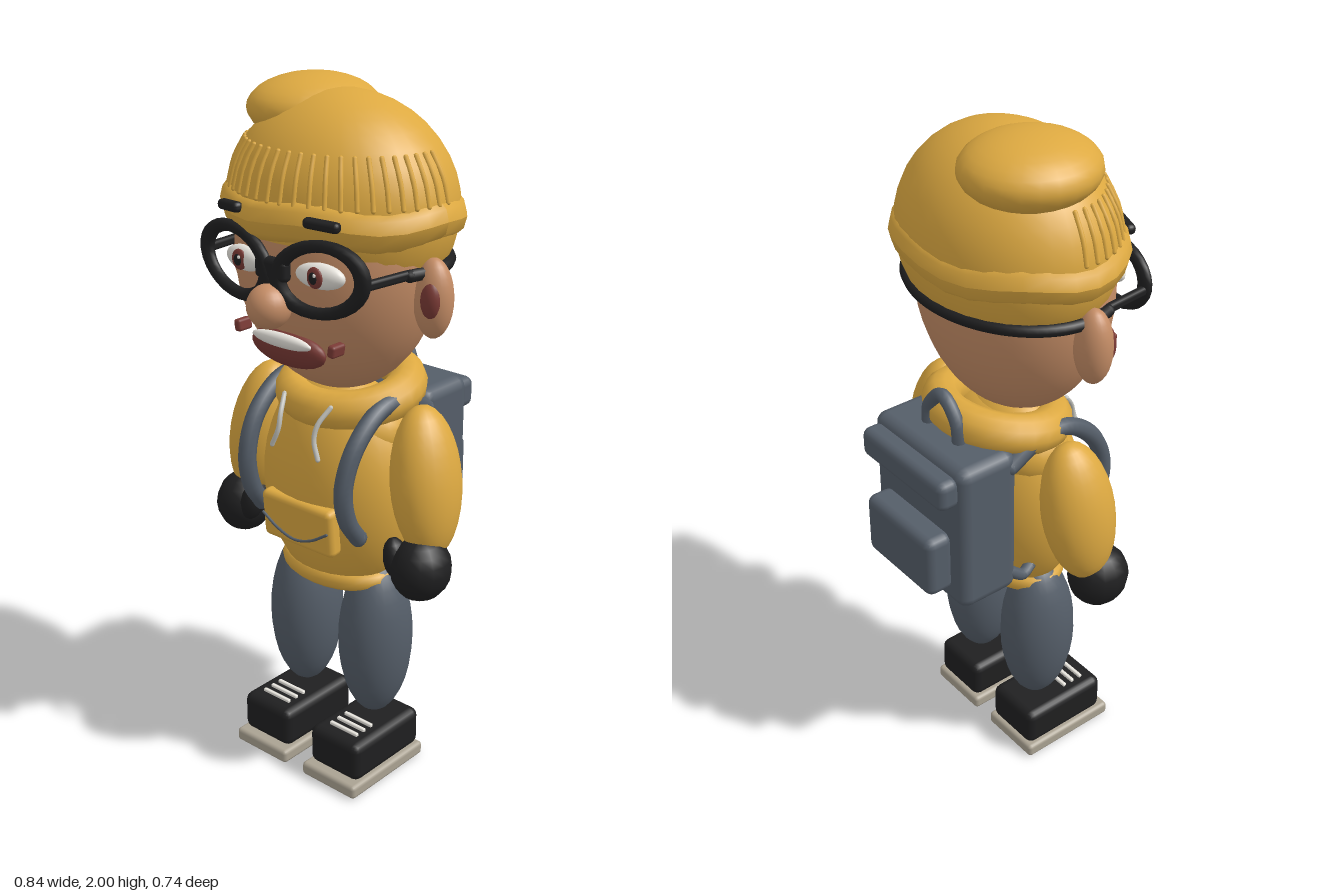
import * as THREE from 'three';
import { RoundedBoxGeometry } from 'three/addons/geometries/RoundedBoxGeometry.js';

const mat = (name, color) => Object.assign(new THREE.MeshStandardMaterial({ color }), { name });

export function createModel() {
  const root = new THREE.Group();
  root.name = 'backpackKid';
  const yellow = mat('hoodieYellow', 0xdda941), skin = mat('skin', 0xc58d66);
  const slate = mat('slate', 0x555e69), black = mat('black', 0x1f1f20);
  const red = mat('mouthRed', 0x7a3a35), white = mat('white', 0xe9e6df);
  const sole = mat('soleGrey', 0xaaa292), cord = mat('cordGrey', 0xc3c3bd);

  const add = (name, geo, m, pos = [0, 0, 0], rot = [0, 0, 0]) => {
    const mesh = new THREE.Mesh(geo, m);
    mesh.name = name;
    mesh.position.set(...pos);
    mesh.rotation.set(...rot);
    root.add(mesh);
    return mesh;
  };
  const blob = (name, m, pos, radii, rot, w = 24, h = 16) =>
    add(name, new THREE.SphereGeometry(1, w, h).scale(...radii), m, pos, rot);
  const box = (name, m, pos, size, r = 0.02, rot) =>
    add(name, new RoundedBoxGeometry(...size, 2, r), m, pos, rot);
  const tube = (name, m, pts, r, seg = 24) => {
    const curve = new THREE.CatmullRomCurve3(pts.map(p => new THREE.Vector3(...p)));
    const mesh = add(name, new THREE.TubeGeometry(curve, seg, r, 8), m);
    // rounded ends
    for (const p of [pts[0], pts[pts.length - 1]]) blob(name + 'End', m, p, [r, r, r], undefined, 8, 6);
    return mesh;
  };

  // Head
  blob('head', skin, [0, 1.55, 0.04], [0.305, 0.38, 0.243], undefined, 32, 24);
  blob('nose', skin, [0, 1.455, 0.305], [0.06, 0.06, 0.06]);
  blob('mouth', red, [0, 1.325, 0.235], [0.13, 0.055, 0.035], [0.25, 0, 0]);
  blob('teeth', white, [0, 1.352, 0.262], [0.105, 0.021, 0.018], [0.25, 0, 0]);

  // Knit cap: dome, folded slouch and cuff
  const dome = { y: 1.68, z: 0.018, rx: 0.337, ry: 0.295, rz: 0.268 };
  blob('capDome', yellow, [0, dome.y, dome.z], [dome.rx, dome.ry, dome.rz], undefined, 32, 20);
  blob('capSlouch', yellow, [-0.13, 1.91, -0.015], [0.177, 0.09, 0.186]);
  const cuff = new THREE.TorusGeometry(1, 0.15, 10, 28).rotateX(Math.PI / 2);
  const cp = cuff.attributes.position;
  for (let i = 0; i < cp.count; i++) {
    const x = cp.getX(i), y = cp.getY(i), z = cp.getZ(i);
    const a = Math.atan2(z, x);
    cp.setXYZ(i, x * 0.31, y * 0.36 + 0.008 * Math.cos(5 * a), z * 0.248);
  }
  cuff.computeVertexNormals();
  add('capCuff', cuff, yellow, [0, 1.672, 0.022]);

  // Knit ribs along the front of the dome
  const ribs = 26;
  for (let i = 0; i < ribs; i++) {
    const a = -0.08 + (i / (ribs - 1)) * (Math.PI + 0.16);
    const pts = [0.14, 0.36, 0.58].map(e => [
      Math.cos(a) * Math.cos(e) * dome.rx,
      dome.y + Math.sin(e) * dome.ry,
      dome.z + Math.sin(a) * Math.cos(e) * dome.rz,
    ]);
    tube('capRib', yellow, pts, 0.0065, 6);
  }

  // Glasses bridge and band around the back of the head
  box('glassesBridge', black, [0, 1.552, 0.288], [0.11, 0.06, 0.035], 0.015);
  const band = [];
  for (let i = 0; i <= 16; i++) {
    const a = -0.3 + (i / 16) * (Math.PI + 0.6);
    band.push([0.315 * Math.cos(a), 1.548, 0.03 - 0.252 * Math.sin(a)]);
  }
  tube('glassesBand', black, band, 0.017, 48);

  // Torso, hem, hood
  blob('torso', yellow, [0, 0.88, 0.035], [0.245, 0.335, 0.175], undefined, 32, 20);
  blob('shoulders', yellow, [0, 1.06, 0.02], [0.215, 0.13, 0.14]);
  const hem = new THREE.TorusGeometry(1, 0.2, 10, 24).rotateX(Math.PI / 2).scale(0.16, 0.15, 0.108);
  add('hem', hem, yellow, [0, 0.62, 0.035]);
  const hood = new THREE.TorusGeometry(1, 0.36, 12, 28).rotateX(Math.PI / 2).scale(0.165, 0.16, 0.15);
  add('hood', hood, yellow, [0, 1.155, -0.015], [0.2, 0, 0]);

  // Front pocket with a curved seam
  box('frontPocket', yellow, [0, 0.802, 0.195], [0.26, 0.145, 0.05], 0.018, [0.08, 0, 0]);
  tube('pocketSeam', slate, [[-0.12, 0.805, 0.224], [-0.06, 0.772, 0.225], [0, 0.757, 0.225],
    [0.06, 0.772, 0.225], [0.12, 0.808, 0.224]], 0.004);

  for (const s of [-1, 1]) {
    // Ears, cheek marks and brows
    blob('ear', skin, [s * 0.325, 1.48, 0.037], [0.055, 0.107, 0.05]);
    blob('innerEar', red, [s * 0.338, 1.483, 0.066], [0.031, 0.054, 0.025]);
    box('cheekMark', red, [s * 0.168, 1.355, 0.235], [0.024, 0.034, 0.05], 0.008, [0, 0, -s * 0.15]);
    box('eyebrow', black, [s * 0.16, 1.688, 0.278], [0.1, 0.028, 0.03], 0.012, [0, s * 0.3, -s * 0.08]);

    // Eyes and glasses rims
    const ex = s < 0 ? -0.125 : 0.14;
    blob('eyeWhite', white, [ex, 1.552, 0.262], [0.074, 0.034, 0.026], [0, s * 0.14, 0]);
    blob('iris', red, [ex, 1.552, 0.284], [0.026, 0.028, 0.009]);
    blob('pupil', black, [ex, 1.552, 0.291], [0.014, 0.016, 0.005], undefined, 12, 8);
    blob('eyeGlint', white, [ex + 0.008, 1.561, 0.295], [0.005, 0.005, 0.003], undefined, 8, 6);
    const rim = new THREE.TorusGeometry(1, 0.19, 10, 28).scale(0.13, 0.087, 0.085);
    add('glassesRim', rim, black, [s * 0.147, 1.545, 0.274], [0, s * 0.145, s * 0.16]);
    box('glassesHinge', black, [s * 0.29, 1.55, 0.16], [0.022, 0.026, 0.19], 0.009, [0, -s * 0.1, 0]);

    // Arms and gloves
    blob('arm', yellow, [s * 0.305, 0.955, 0.025], [0.092, 0.215, 0.108], [-0.08, 0, s * 0.16]);
    blob('glove', black, [s * 0.337, 0.727, 0.08], [0.083, 0.093, 0.09], undefined, 14, 10);
    blob('thumb', black, [s * 0.275, 0.75, 0.115], [0.033, 0.06, 0.038], [0, 0, s * 0.2], 12, 8);

    // Legs and shoes
    blob('leg', slate, [s * 0.135, 0.42, 0.03], [0.104, 0.25, 0.115]);
    box('shoe', black, [s * 0.135, 0.1, 0.076], [0.186, 0.122, 0.29], 0.025);
    box('shoeSole', sole, [s * 0.135, 0.021, 0.085], [0.203, 0.042, 0.32], 0.012);
    for (let i = 0; i < 3; i++)
      box('lace', white, [s * 0.135, 0.164, 0.105 + i * 0.032], [0.105, 0.012, 0.012], 0.004);

    // Drawstrings
    tube('drawstring', cord, [[s * 0.085, 1.155, 0.165], [s * 0.068, 1.11, 0.2],
      [s * 0.066, 1.07, 0.212], [s * 0.085, 1.02, 0.218]], 0.007, 14);

    // Backpack straps
    tube('strap', slate, [[s * 0.185, 1.1, -0.12], [s * 0.19, 1.155, -0.02], [s * 0.188, 1.15, 0.08],
      [s * 0.185, 1.07, 0.18], [s * 0.18, 0.96, 0.222], [s * 0.18, 0.86, 0.205], [s * 0.183, 0.8, 0.165]], 0.026, 32);
    tube('strapLower', slate, [[s * 0.185, 0.74, -0.12], [s * 0.19, 0.71, -0.075], [s * 0.18, 0.72, -0.04]], 0.018, 8);
  }

  // Backpack
  box('backpack', slate, [0, 0.92, -0.198], [0.41, 0.465, 0.195], 0.035);
  box('backpackFlap', slate, [0, 1.085, -0.315], [0.37, 0.09, 0.07], 0.024);
  box('backpackPocket', slate, [0, 0.835, -0.325], [0.3, 0.19, 0.09], 0.026);
  tube('backpackHandle', slate, [[-0.07, 1.13, -0.2], [-0.06, 1.21, -0.2], [0, 1.265, -0.2],
    [0.06, 1.21, -0.2], [0.07, 1.13, -0.2]], 0.02);

  return root;
}
